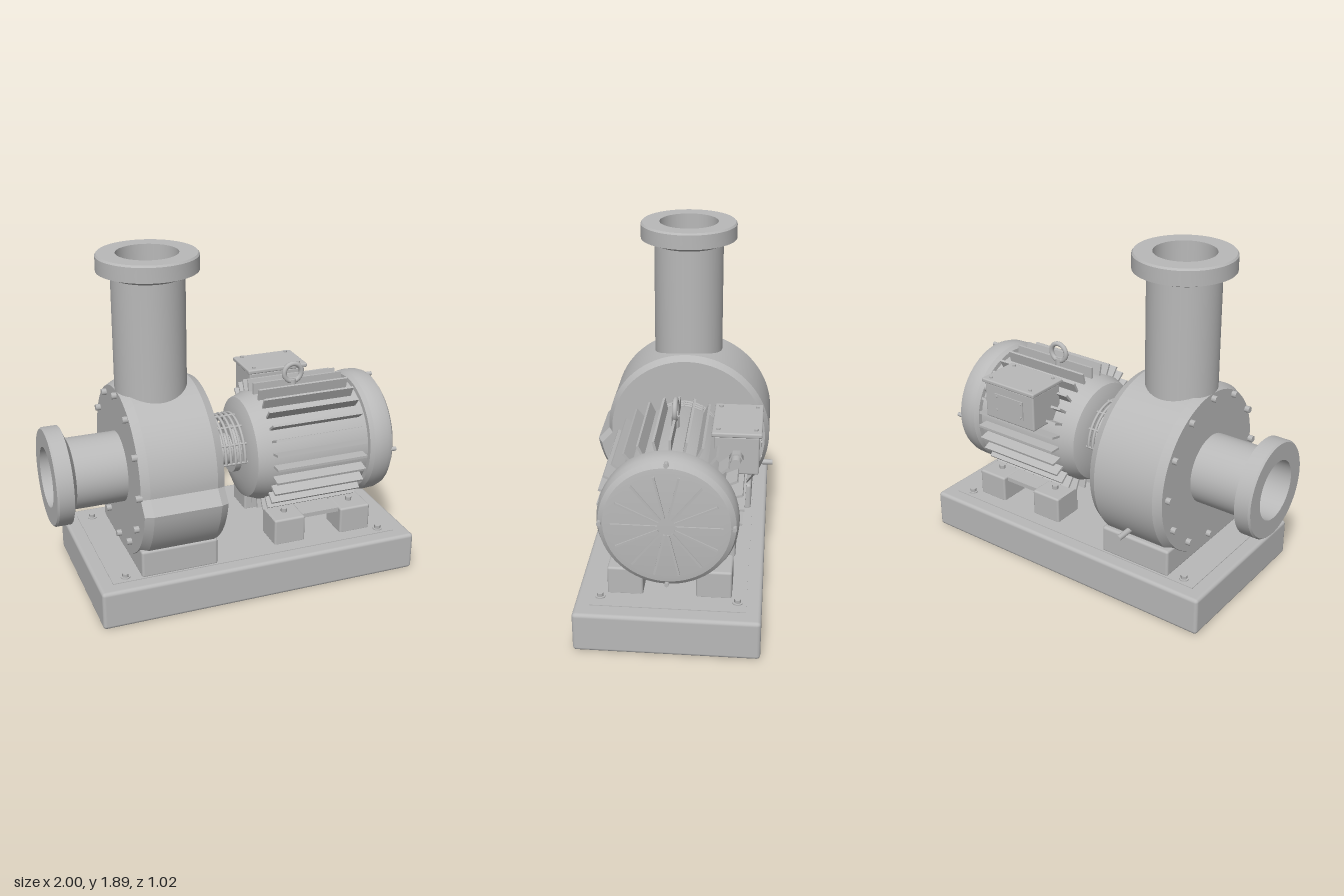
import * as THREE from 'three';
import { toCreasedNormals } from 'three/addons/utils/BufferGeometryUtils.js';
import { RoundedBoxGeometry } from 'three/addons/geometries/RoundedBoxGeometry.js';

const AXIS_Y = 0.71; // height of the shaft line

export function createModel() {
  const model = new THREE.Group();
  model.name = 'pumpSet';
  const metal = new THREE.MeshStandardMaterial({ color: 0xb9b9b9 });
  metal.name = 'greyMetal';

  const add = (name, geo, x = 0, y = 0, z = 0, parent = model) => {
    const mesh = new THREE.Mesh(geo, metal);
    mesh.name = name;
    mesh.position.set(x, y, z);
    parent.add(mesh);
    return mesh;
  };
  const box = (w, h, d) => new THREE.BoxGeometry(w, h, d);
  const rounded = (w, h, d, r) => new RoundedBoxGeometry(w, h, d, 2, r);
  const cyl = (r, h, n = 24) => new THREE.CylinderGeometry(r, r, h, n);
  // Turned parts: [radius, height] from bottom to top on the outside
  const lathe = (pts) => toCreasedNormals(
    new THREE.LatheGeometry(pts.map(([r, h]) => new THREE.Vector2(r, h)), 64), 0.4);
  const alongX = (geo) => geo.rotateZ(-Math.PI / 2); // +y becomes +x
  const bolt = (name, x, y, z, parent = model) =>
    add(name, cyl(0.018, 0.03, 6), x, y, z, parent);

  // Base plate with its thin raised top and anchor bolts
  add('basePlate', rounded(1.84, 0.22, 0.96, 0.02), 0.08, 0.11, 0);
  add('baseTopPanel', box(1.67, 0.006, 0.8), 0.075, 0.221, 0);
  for (const x of [-0.68, 0.83])
    for (const z of [-0.355, 0.355]) {
      add('anchorWasher', cyl(0.026, 0.01, 20), x, 0.225, z);
      bolt('anchorBolt', x, 0.233, z);
    }

  // Spiral pump casing with a tongue on the front side
  const spiral = [];
  for (let i = 0; i <= 96; i++) {
    const t = i / 96, a = t * Math.PI * 2 * (352 / 360);
    const r = 0.445 + 0.07 * Math.pow(t, 0.85);
    spiral.push(new THREE.Vector2(-r * Math.cos(a), r * Math.sin(a)));
  }
  const casing = new THREE.ExtrudeGeometry(new THREE.Shape(spiral), {
    depth: 0.37, bevelEnabled: true, bevelThickness: 0.045,
    bevelSize: 0.024, bevelOffset: -0.024, bevelSegments: 1,
  });
  casing.rotateY(Math.PI / 2);
  add('pumpCasing', toCreasedNormals(casing, 0.3), -0.555, AXIS_Y, 0);
  add('pumpFoot', rounded(0.43, 0.16, 0.78, 0.015), -0.38, 0.295, 0);
  add('drainPlug', cyl(0.016, 0.11, 12).rotateX(Math.PI / 2), -0.36, 0.435, -0.455);

  // Ring of bolts on the suction cover
  for (let i = 0; i < 12; i++) {
    const a = i * Math.PI / 6;
    add('coverBolt', alongX(cyl(0.019, 0.034, 8)),
      -0.61, AXIS_Y + 0.415 * Math.sin(a), 0.415 * Math.cos(a));
  }

  // Flanged pipes: hollow, with a chamfered collar
  const pipe = (len) => lathe([
    [0.195, 0], [0.195, len - 0.12], [0.205, len - 0.115], [0.27, len - 0.09],
    [0.27, len - 0.01], [0.262, len], [0.165, len], [0.165, 0.1], [0, 0.1],
  ]);
  add('dischargePipe', pipe(0.89), -0.405, 1.0, 0);
  add('suctionPipe', pipe(0.5).rotateZ(Math.PI / 2), -0.5, AXIS_Y, 0);

  // Shaft, coupling hubs and wire guard
  const coupling = new THREE.Group();
  coupling.name = 'coupling';
  coupling.position.y = AXIS_Y;
  model.add(coupling);
  add('shaft', alongX(cyl(0.09, 0.26, 40)), -0.03, 0, 0, coupling);
  for (const x of [-0.102, 0.058])
    add('couplingHub', alongX(cyl(0.135, 0.036, 40)), x, 0, 0, coupling);
  for (let i = 0; i < 8; i++)
    add('guardRing', new THREE.TorusGeometry(0.203, 0.008, 8, 32, Math.PI).rotateY(Math.PI / 2),
      -0.13 + i * 0.028, 0, 0, coupling);
  for (let i = 0; i <= 6; i++) {
    const a = i * Math.PI / 6;
    add('guardBar', alongX(cyl(0.007, 0.22, 8)), -0.03, 0.203 * Math.sin(a), 0.203 * Math.cos(a), coupling);
  }

  // Motor: end bell and barrel
  const motor = new THREE.Group();
  motor.name = 'motor';
  motor.position.y = AXIS_Y;
  model.add(motor);
  add('motorBarrel', alongX(lathe([
    [0, 0.075], [0.16, 0.075], [0.24, 0.09], [0.285, 0.11], [0.31, 0.175], [0.31, 0.79],
  ])), 0, 0, 0, motor);

  // Cooling fins around the barrel
  for (let i = 0; i < 28; i++)
    add('coolingFin', box(0.54, 0.085, 0.013).translate(0.46, 0.3325, 0)
      .rotateX(i * Math.PI * 2 / 28), 0, 0, 0, motor);

  // Fan cowl with radial grille ribs and screws
  add('fanCowl', alongX(lathe([
    [0.3, 0.765], [0.335, 0.768], [0.352, 0.79], [0.356, 0.82], [0.354, 0.87],
    [0.343, 0.9], [0.318, 0.918], [0.285, 0.922], [0, 0.924],
  ])), 0, 0, 0, motor);
  for (let i = 0; i < 14; i++)
    add('grilleRib', box(0.01, 0.235, 0.011).translate(0.926, 0.163, 0)
      .rotateX(Math.PI / 2 + i * Math.PI / 7), 0, 0, 0, motor);
  for (let i = 0; i < 4; i++)
    add('cowlScrew', alongX(cyl(0.012, 0.035, 12)).translate(0.91, 0.335, 0)
      .rotateX(i * Math.PI / 2), 0, 0, 0, motor);

  // Motor feet with bolts and side rails
  for (const z of [-0.23, 0.23]) {
    for (const x of [0.293, 0.698]) {
      add('motorFoot', rounded(0.185, 0.16, 0.185, 0.012), x, 0.295, z);
      bolt('footBolt', x, 0.382, z);
    }
    add('footRail', box(0.57, 0.025, 0.12), 0.485, 0.358, z);
  }

  // Lifting eye
  add('liftingEye', new THREE.TorusGeometry(0.052, 0.014, 12, 32), 0.43, 1.118, 0);
  add('liftingEyeStem', cyl(0.02, 0.06, 16), 0.43, 1.05, 0);

  // Terminal box on the rear shoulder
  add('terminalBox', rounded(0.345, 0.21, 0.23, 0.01), 0.428, 0.95, -0.325);
  add('terminalLid', rounded(0.37, 0.025, 0.255, 0.008), 0.428, 1.067, -0.325);
  add('terminalPlate', box(0.2, 0.11, 0.008), 0.428, 0.95, -0.442);
  for (const sx of [-1, 1]) {
    for (const sz of [-1, 1])
      add('lidScrew', cyl(0.01, 0.012, 10), 0.428 + sx * 0.14, 1.083, -0.325 + sz * 0.095);
    for (const sy of [-1, 1])
      add('plateScrew', cyl(0.007, 0.012, 10).rotateX(Math.PI / 2),
        0.428 + sx * 0.085, 0.95 + sy * 0.04, -0.446);
  }
  add('cableGland', alongX(cyl(0.036, 0.05, 6)), 0.62, 0.95, -0.325);
  add('cableGlandTip', alongX(cyl(0.026, 0.06, 20)), 0.665, 0.95, -0.325);

  return model;
}
